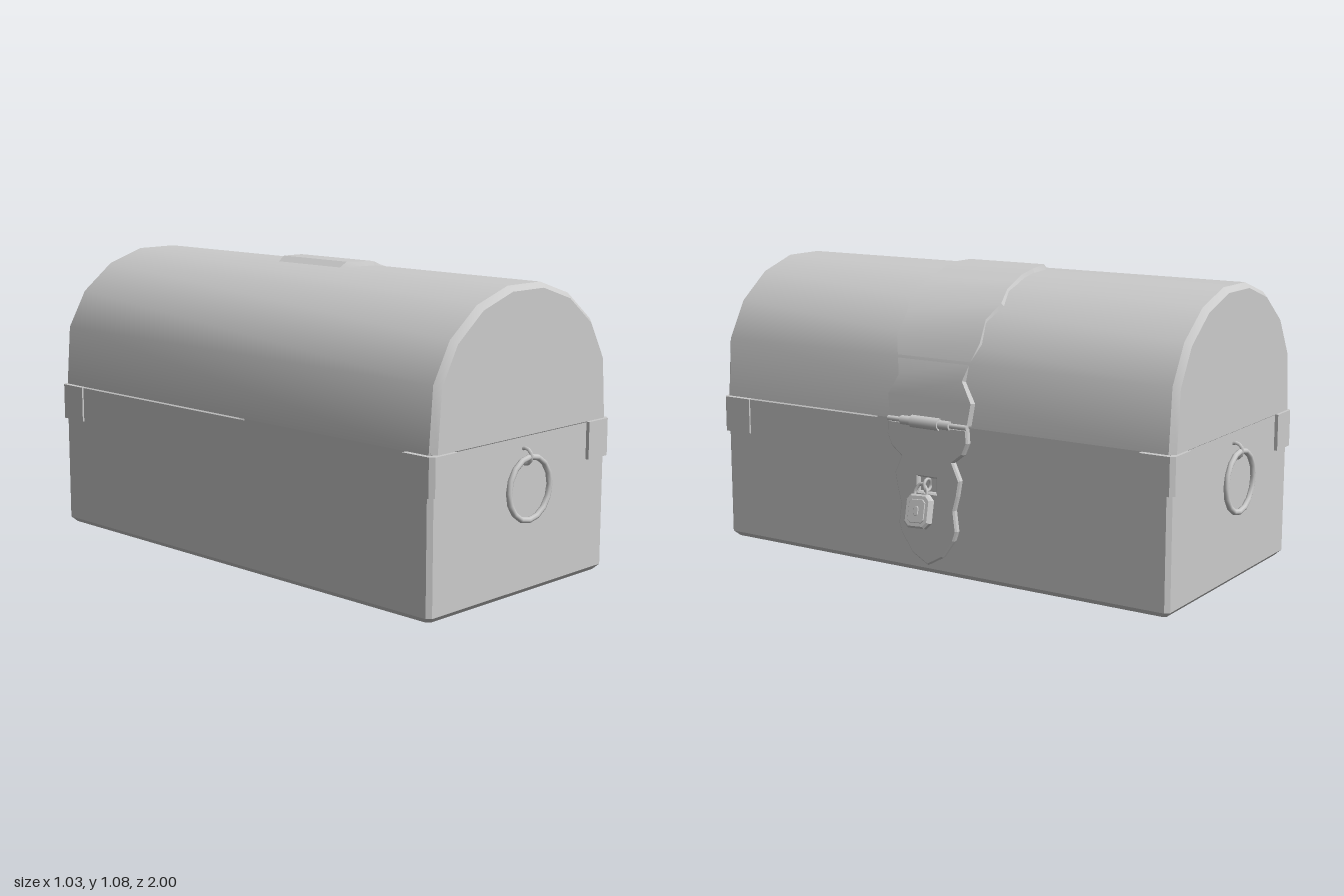
import * as THREE from 'three';
import { toCreasedNormals } from 'three/addons/utils/BufferGeometryUtils.js';

const CX = -0.042; // middle of the chest across x
const mat = new THREE.MeshStandardMaterial({ color: 0xcccccc, side: THREE.DoubleSide });

function add(parent, name, geometry, x = 0, y = 0, z = 0) {
  const m = new THREE.Mesh(geometry, mat);
  m.name = name;
  m.position.set(x, y, z);
  parent.add(m);
  return m;
}

// Skins a list of cross-sections, each a list of [x, y, z]
function loft(sections, closed, crease) {
  const n = sections[0].length, index = [];
  for (let s = 0; s < sections.length - 1; s++) {
    for (let i = 0; i < (closed ? n : n - 1); i++) {
      const a = s * n + i, b = s * n + (i + 1) % n;
      index.push(a, b, b + n, a, b + n, a + n);
    }
  }
  const g = new THREE.BufferGeometry();
  g.setAttribute('position', new THREE.Float32BufferAttribute(sections.flat(2), 3));
  g.setIndex(index);
  return toCreasedNormals(g, crease);
}

const shapeOf = pts => new THREE.Shape(pts.map(p => new THREE.Vector2(p[0], p[1])));
const rect = (w, h, y = 0) => [[-w, y - h], [w, y - h], [w, y + h], [-w, y + h]];

// Chamfered rectangle at height y, counter-clockwise from above
function bodyRing(hx, hz, y, c) {
  return [[hx, hz - c], [hx, c - hz], [hx - c, -hz], [c - hx, -hz],
    [-hx, c - hz], [-hx, hz - c], [c - hx, hz], [hx - c, hz]].map(([x, z]) => [CX + x, y, z]);
}

function buildLid(group) {
  const lid = new THREE.Group();
  lid.name = 'lid';
  const half = [[0.465, 0.557], [0.447, 0.78], [0.37, 0.915], [0.24, 1.015], [0.085, 1.065]];
  const arc = [...half, ...half.map(([x, y]) => [-x, y]).reverse()];
  const section = (z, inset) => arc.map(([x, y]) => [
    CX + x * (inset ? 0.955 : 1), inset ? 0.557 + (y - 0.557) * 0.963 : y, z]);
  add(lid, 'lidBarrel', loft([section(-0.965, true), section(-0.945, false),
    section(0.945, false), section(0.965, true)], false, 0.5));
  const end = new THREE.ShapeGeometry(shapeOf(section(0, true)));
  add(lid, 'lidEndFront', end, 0, 0, 0.965);
  add(lid, 'lidEndBack', end, 0, 0, -0.965).rotation.y = 0;
  // inward rim along the lid opening
  const rim = shapeOf(rect(0.46, 0.95));
  rim.holes.push(shapeOf(rect(0.415, 0.905)));
  const rimGeo = new THREE.ExtrudeGeometry(rim, { depth: 0.006, bevelEnabled: false });
  add(lid, 'lidRim', rimGeo.rotateX(-Math.PI / 2), CX, 0.558, 0);
  group.add(lid);
}

function buildHasp(group) {
  const hasp = new THREE.Group();
  hasp.name = 'hasp';

  // wavy strap over the lid: x, y, half width
  const path = [[-0.11, 1.062, 0.17], [-0.075, 1.084, 0.175], [0.04, 1.08, 0.198], [0.09, 1.064, 0.185],
    [0.15, 1.044, 0.19], [0.2, 1.024, 0.192], [0.265, 0.98, 0.208], [0.325, 0.928, 0.182],
    [0.375, 0.85, 0.19], [0.402, 0.785, 0.168], [0.425, 0.72, 0.148], [0.433, 0.645, 0.19], [0.44, 0.565, 0.178]];
  const sections = path.map(([x, y, h], i) => {
    const p = path[Math.max(i - 1, 0)], q = path[Math.min(i + 1, path.length - 1)];
    const len = Math.hypot(q[0] - p[0], q[1] - p[1]);
    const dx = -(q[1] - p[1]) / len * 0.025, dy = (q[0] - p[0]) / len * 0.025;
    return [[x - dx, y - dy, -h], [x, y, 0.012 - h], [x, y, h - 0.012], [x - dx, y - dy, h]];
  });
  add(hasp, 'lidStrap', loft(sections, false, 0.5));

  // pointed plate on the body, with a slot for the staple
  const edge = [[0.165, 0.55], [0.168, 0.505], [0.15, 0.465], [0.105, 0.43], [0.135, 0.365],
    [0.125, 0.31], [0.11, 0.255], [0.12, 0.18], [0.108, 0.145], [0.062, 0.08]];
  const plate = shapeOf([...edge, [0, 0.045], ...edge.map(([x, y]) => [-x, y]).reverse()]);
  plate.holes.push(shapeOf(rect(0.045, 0.033, 0.335)));
  const plateGeo = new THREE.ExtrudeGeometry(plate, {
    depth: 0.015, bevelThickness: 0.006, bevelSize: 0.006, bevelSegments: 1 });
  add(hasp, 'lockPlate', plateGeo.rotateY(Math.PI / 2), 0.429, 0, 0);

  // hinge barrel and its thin pin
  const rod = (r, l, n) => new THREE.CylinderGeometry(r, r, l, n).rotateX(Math.PI / 2);
  add(hasp, 'hingePin', rod(0.01, 0.34, 8), 0.444, 0.56, 0);
  add(hasp, 'hingeBarrel', rod(0.023, 0.12, 10), 0.445, 0.56, 0.005);
  add(hasp, 'hingeCollar', rod(0.017, 0.21, 10), 0.445, 0.56, 0.005);
  add(hasp, 'staple', new THREE.TorusGeometry(0.022, 0.006, 6, 12), 0.445, 0.335, 0);

  // padlock hanging tilted away from the plate
  const lock = new THREE.Group();
  lock.name = 'padlock';
  lock.position.set(0.484, 0.245, 0.01);
  lock.rotation.set(0.06, 0, 0.28);
  const slab = (w, h, c, depth, b) => {
    const s = shapeOf([[-w + c, -h], [w - c, -h], [w, c - h], [w, h - c], [w - c, h], [c - w, h], [-w, h - c], [-w, c - h]]);
    return new THREE.ExtrudeGeometry(s, { depth, bevelThickness: b, bevelSize: b, bevelSegments: 1 })
      .translate(0, 0, -depth / 2).rotateY(Math.PI / 2);
  };
  add(lock, 'lockBody', slab(0.047, 0.054, 0.016, 0.018, 0.007));
  add(lock, 'lockFace', slab(0.033, 0.04, 0.01, 0.002, 0.002), 0.016);
  add(lock, 'keyhole', slab(0.008, 0.016, 0.005, 0.002, 0.002), 0.019);
  const shackle = new THREE.CatmullRomCurve3([[0, 0.05, 0.026], [0, 0.075, 0.025], [0, 0.1, 0],
    [0, 0.075, -0.025], [0, 0.05, -0.026]].map(p => new THREE.Vector3(...p)));
  add(lock, 'shackle', new THREE.TubeGeometry(shackle, 14, 0.006, 6));
  hasp.add(lock);
  group.add(hasp);
}

export function createModel() {
  const group = new THREE.Group();
  group.name = 'chest';

  // open-bottomed body with a chamfered foot
  add(group, 'body', loft([bodyRing(0.448, 0.937, 0, 0.01), bodyRing(0.468, 0.957, 0.02, 0.015),
    bodyRing(0.468, 0.957, 0.552, 0.015)], true, 0.3));
  buildLid(group);
  buildHasp(group);

  // corner brackets, mirrored to all four corners
  const L = shapeOf([[0.475, -0.84], [0.475, -0.955], [0.46, -0.97], [0.352, -0.97],
    [0.352, -0.945], [0.45, -0.945], [0.45, -0.84]]);
  const bracket = new THREE.ExtrudeGeometry(L, { depth: 0.134, bevelEnabled: false }).rotateX(-Math.PI / 2);
  for (const sx of [-1, 1]) {
    for (const sz of [-1, 1]) add(group, 'cornerBracket', bracket, CX, 0.42, 0).scale.set(sx, 1, sz);
  }

  // ring handle hanging from a loop on each end
  for (const s of [-1, 1]) {
    const handle = new THREE.Group();
    handle.name = 'handle';
    add(handle, 'ring', new THREE.TorusGeometry(0.109, 0.0105, 8, 16), CX, 0.379, s * 0.987);
    const loop = add(handle, 'ringLoop', new THREE.TorusGeometry(0.027, 0.007, 6, 12), CX, 0.488, s * 0.966);
    loop.rotation.y = Math.PI / 2;
    group.add(handle);
  }
  return group;
}
